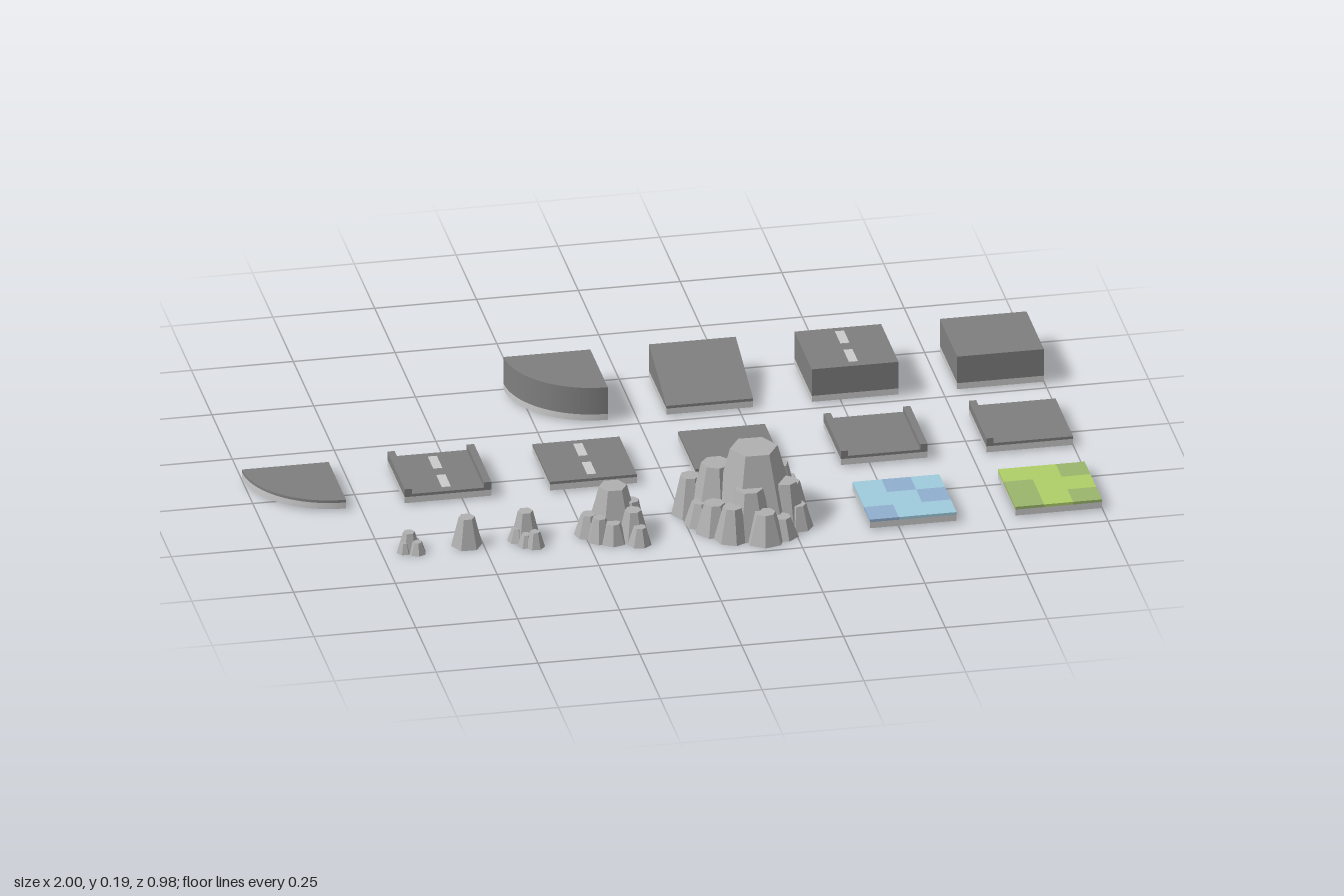
import * as THREE from 'three';

const S = 0.213, H = S / 2, STEP = 0.357;      // tile size, half size, column spacing
const Y0 = 0.005, Y1 = 0.021, Y2 = 0.028, YH = 0.092; // underside, base top, low top, high top
const ROW = { back: -0.382, mid: -0.026, front: 0.33 };
const col = (i) => -0.8935 + i * STEP;

const mat = (color, flatShading = false) => new THREE.MeshStandardMaterial({ color, flatShading });
const road = mat(0x7f7f7f), pale = mat(0xdcdcdc), stone = mat(0xb0b0b0, true);
const waterLight = mat(0x9fcbdc), waterDark = mat(0x90b0d0);
const grassLight = mat(0xb0cf68), grassDark = mat(0x9bb56c);

function add(parent, name, geometry, material) {
  const mesh = new THREE.Mesh(geometry, material);
  mesh.name = name;
  parent.add(mesh);
  return mesh;
}

// Box given by its centre in plan and its bottom and top heights
function block(parent, name, w, d, y0, y1, x, z, material) {
  add(parent, name, new THREE.BoxGeometry(w, y1 - y0, d), material).position.set(x, (y0 + y1) / 2, z);
}

// Plan outline (shape y = z) raised from y0 to y1
function slab(parent, name, shape, y0, y1, material) {
  const g = new THREE.ExtrudeGeometry(shape, { depth: y1 - y0, bevelEnabled: false, curveSegments: 20 });
  g.rotateX(Math.PI / 2).translate(0, y1, 0);
  add(parent, name, g, material);
}

function square(h) {
  return [[-h, -h], [h, -h], [h, h], [-h, h]].map(([x, y]) => new THREE.Vector2(x, y));
}

function group(parent, name, x, z) {
  const g = new THREE.Group();
  g.name = name;
  g.position.set(x, 0, z);
  parent.add(g);
  return g;
}

// Tile with its pale base frame, which has a square socket underneath
function tile(parent, name, c, z) {
  const g = group(parent, name, col(c), z);
  const shape = new THREE.Shape(square(H));
  shape.holes.push(new THREE.Path(square(0.05).reverse()));
  slab(g, 'baseFrame', shape, Y0, Y1, pale);
  return g;
}

function roadTile(parent, name, c, z, { top = Y2, dashes = false, kerbs = [] } = {}) {
  const g = tile(parent, name, c, z);
  block(g, 'roadSlab', S, S, Y1, top, 0, 0, road);
  if (dashes) for (const s of [-1, 1]) block(g, 'laneDash', 0.022, 0.068, top - 0.002, top + 0.0015, 0, s * 0.052, pale);
  for (const s of kerbs) block(g, 'kerb', 0.018, S, Y2, 0.042, s * (H - 0.009), 0, road);
}

function quarterTile(parent, name, c, z, top) {
  const g = group(parent, name, col(c), z);
  const shape = new THREE.Shape();
  shape.moveTo(H, -H);
  shape.lineTo(H, H);
  shape.absarc(H, -H, S, Math.PI / 2, Math.PI, false);
  slab(g, 'quarterBase', shape, Y0, Y1, pale);
  slab(g, 'quarterTop', shape, Y1, top, road);
}

// Slope rising towards the back
function rampTile(parent, c, z) {
  const g = tile(parent, 'rampTile', c, z);
  const side = new THREE.Shape([[H, Y1], [H, Y2], [-H, YH], [-H, Y1]].map(([a, b]) => new THREE.Vector2(a, b)));
  const geo = new THREE.ExtrudeGeometry(side, { depth: S, bevelEnabled: false });
  geo.rotateY(-Math.PI / 2).translate(H, 0, 0);
  add(g, 'rampWedge', geo, road);
}

// Surface of 3 x 3 patches in two shades
function patchTile(parent, name, c, z, light, dark, pattern) {
  const g = tile(parent, name, c, z), p = S / 3;
  pattern.forEach((line, r) => [...line].forEach((ch, i) =>
    block(g, 'surfacePatch', p, p, Y1, Y2, (i - 1) * p, (r - 1) * p, ch === '#' ? dark : light)));
}

// Cluster of tapered stone columns: [x, z, height, base radius]
function rock(parent, name, x, z, columns) {
  const g = group(parent, name, x, z);
  columns.forEach(([cx, cz, h, r], i) => {
    const m = add(g, 'rockColumn', new THREE.CylinderGeometry(r * 0.52, r, h, i === 0 ? 6 : 7), stone);
    m.position.set(cx - x, h / 2, cz - z);
    m.rotation.y = 0.5 + i * 1.3;
  });
}

export function createModel() {
  const model = new THREE.Group();
  model.name = 'terrainTileSet';

  // Back row: raised tiles
  quarterTile(model, 'highQuarterTile', 2, ROW.back, YH);
  rampTile(model, 3, ROW.back);
  roadTile(model, 'highLaneTile', 4, ROW.back, { top: YH, dashes: true });
  roadTile(model, 'highPlainTile', 5, ROW.back, { top: YH });

  // Middle row: low tiles
  quarterTile(model, 'lowQuarterTile', 0, ROW.mid, Y2);
  roadTile(model, 'kerbedLaneTile', 1, ROW.mid, { dashes: true, kerbs: [-1, 1] });
  roadTile(model, 'laneTile', 2, ROW.mid, { dashes: true });
  roadTile(model, 'plainTile', 3, ROW.mid);
  roadTile(model, 'doubleKerbTile', 4, ROW.mid, { kerbs: [-1, 1] });
  roadTile(model, 'singleKerbTile', 5, ROW.mid, { kerbs: [-1] });

  // Front row: water, grass and rocks
  patchTile(model, 'waterTile', 4, ROW.front, waterLight, waterDark, ['.#.', '..#', '#..']);
  patchTile(model, 'grassTile', 5, ROW.front, grassLight, grassDark, ['..#', '#..', '#.#']);

  rock(model, 'mountainRock', 0.165, 0.325, [
    [0.165, 0.325, 0.195, 0.112], [0.08, 0.29, 0.145, 0.07], [0.14, 0.39, 0.118, 0.065],
    [0.23, 0.265, 0.118, 0.06], [0.022, 0.255, 0.1, 0.047], [0.17, 0.44, 0.075, 0.048],
    [0.235, 0.36, 0.115, 0.055], [0.255, 0.315, 0.09, 0.048], [0.268, 0.222, 0.06, 0.038],
    [0.262, 0.38, 0.06, 0.038], [0.095, 0.415, 0.085, 0.045], [0.06, 0.365, 0.075, 0.048],
    [0.035, 0.32, 0.06, 0.04], [0.12, 0.238, 0.085, 0.048], [0.185, 0.225, 0.065, 0.042],
    [0.215, 0.42, 0.05, 0.042], [0.08, 0.225, 0.05, 0.036]]);
  rock(model, 'largeRock', -0.18, 0.32, [
    [-0.18, 0.32, 0.122, 0.066], [-0.24, 0.325, 0.055, 0.036], [-0.14, 0.365, 0.075, 0.04],
    [-0.135, 0.32, 0.08, 0.036], [-0.2, 0.28, 0.06, 0.036], [-0.19, 0.375, 0.05, 0.034],
    [-0.13, 0.4, 0.045, 0.03], [-0.22, 0.36, 0.06, 0.032]]);
  rock(model, 'mediumRock', -0.395, 0.325, [
    [-0.395, 0.32, 0.075, 0.036], [-0.415, 0.325, 0.035, 0.025], [-0.38, 0.365, 0.04, 0.024],
    [-0.38, 0.29, 0.04, 0.026], [-0.4, 0.355, 0.03, 0.022]]);
  rock(model, 'singleRock', -0.54, 0.325, [[-0.54, 0.325, 0.075, 0.038]]);
  rock(model, 'smallRock', -0.68, 0.33, [
    [-0.682, 0.325, 0.048, 0.028], [-0.665, 0.345, 0.03, 0.022], [-0.695, 0.335, 0.026, 0.019],
    [-0.665, 0.308, 0.022, 0.018]]);
  return model;
}
